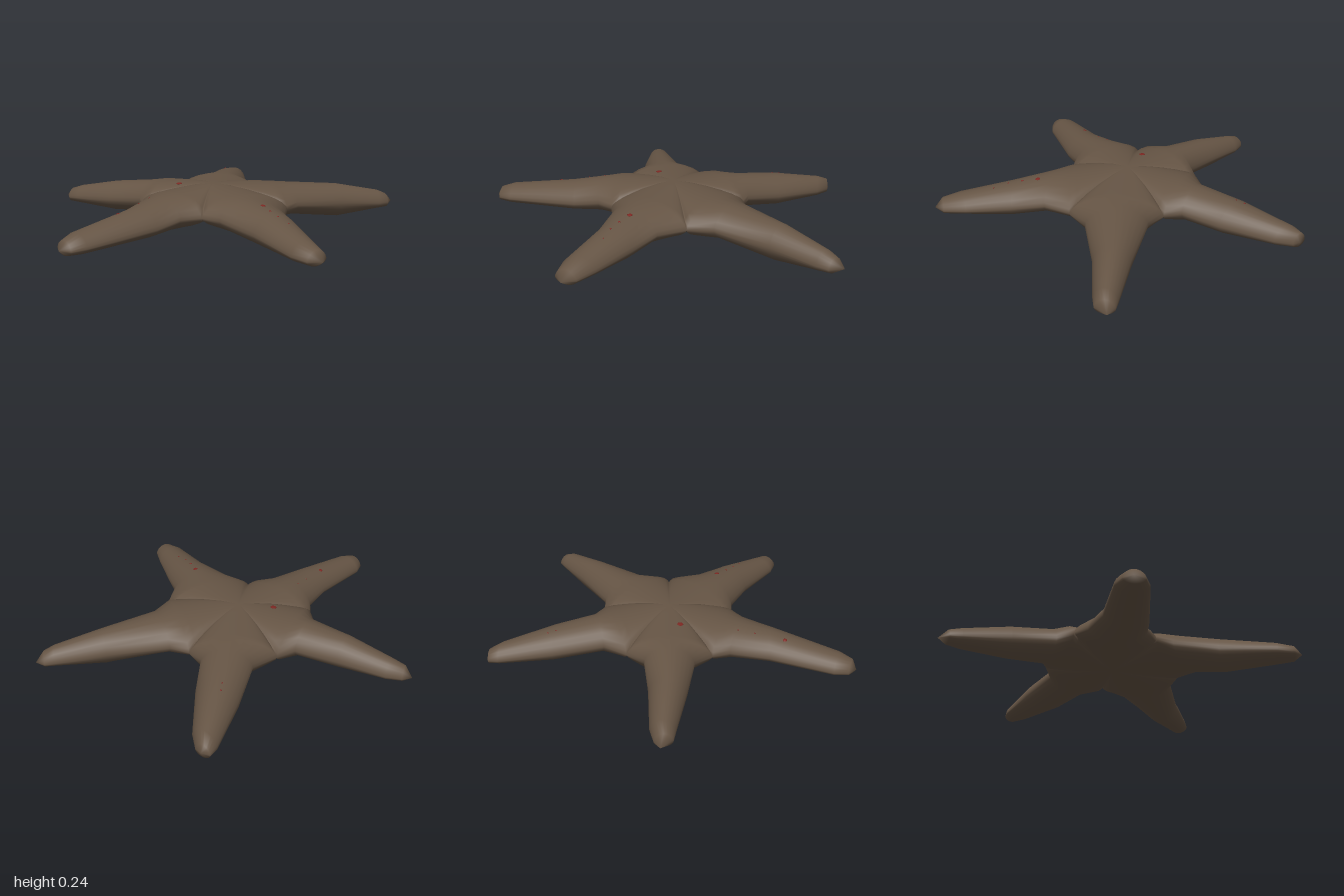
import * as THREE from 'three';
import { mergeVertices } from 'three/addons/utils/BufferGeometryUtils.js';

// Each arm: tip, then [x, z, x, z] edge pairs from the tip back to the base.
// Arms run clockwise seen from above; the valleys between them are shared.
const ARMS = [
  { tip: [0.95, -0.52], low: 0.018, rows: [[0.935, -0.566, 0.945, -0.48], [0.88, -0.563, 0.885, -0.405], [0.6, -0.46, 0.66, -0.22], [0.345, -0.34, 0.49, -0.1]] },
  { tip: [1.0, 0.63], low: 0.0, rows: [[0.985, 0.575, 0.92, 0.655], [0.95, 0.54, 0.86, 0.63], [0.74, 0.35, 0.63, 0.51], [0.5, 0.11, 0.34, 0.4]] },
  { tip: [-0.32, 0.985], low: 0.02, rows: [[-0.25, 0.96, -0.365, 0.925], [-0.18, 0.86, -0.36, 0.83], [-0.04, 0.65, -0.26, 0.53], [0.06, 0.5, -0.225, 0.28]] },
  { tip: [-1.0, -0.1], low: 0.035, rows: [[-0.975, -0.035, -0.965, -0.15], [-0.9, 0.0, -0.89, -0.175], [-0.49, 0.085, -0.54, -0.17], [-0.34, 0.11, -0.33, -0.215]] },
  { tip: [-0.175, -0.99], low: 0.02, rows: [[-0.222, -0.925, -0.13, -0.955], [-0.217, -0.86, -0.085, -0.88], [-0.2, -0.6, 0.0, -0.63], [-0.175, -0.36, 0.09, -0.42]] },
];
// VALLEYS[i] lies just before arm i
const VALLEYS = [[0.2, -0.385], [0.47, 0], [0.2, 0.42], [-0.25, 0.18], [-0.25, -0.275]];
const CENTRE = [0.07, -0.01];
const TOP = [0.115, 0.14, 0.195, 0.222, 0.23];
const EDGE = [0.065, 0.07, 0.095, 0.12, 0.125];
const COLS = 12;

const lerp = THREE.MathUtils.lerp;

// All cross-sections of one arm, from its tip to the middle of the body
function armSections(i) {
  const { tip, low, rows } = ARMS[i];
  const a = VALLEYS[i], b = VALLEYS[(i + 1) % 5];
  const bottom = [0.035, 0.03, low, 0.04, 0.048];
  const sections = [{ p: [...tip, ...tip], top: 0.065, bottom: 0.065, edgeTop: 0.065, edgeBottom: 0.065 }];
  [...rows, [...a, ...b]].forEach((p, k) => sections.push({
    p, top: TOP[k], bottom: bottom[k], edgeTop: EDGE[k], edgeBottom: EDGE[k],
  }));
  // Body wedge: the sides follow the valley lines into the centre
  for (const t of [0.12, 0.3, 0.5, 0.75, 1]) {
    const rise = Math.sin(t * Math.PI / 2) ** 0.75;
    sections.push({
      p: [lerp(a[0], CENTRE[0], t), lerp(a[1], CENTRE[1], t), lerp(b[0], CENTRE[0], t), lerp(b[1], CENTRE[1], t)],
      top: lerp(0.23, 0.24, t), bottom: lerp(0.048, 0.06, t),
      edgeTop: lerp(0.125, 0.24, rise), edgeBottom: lerp(0.125, 0.06, rise),
    });
  }
  return sections;
}

// Upper and lower skins of all five arms, welded into one smooth surface
function starGeometry() {
  const pos = [], index = [];
  for (let i = 0; i < 5; i++) {
    const sections = armSections(i);
    for (const upper of [true, false]) {
      const base = pos.length / 3;
      sections.forEach(({ p, top, bottom, edgeTop, edgeBottom }, r) => {
        for (let c = 0; c <= COLS; c++) {
          const s = -Math.cos(Math.PI * c / COLS), f = (s + 1) / 2;
          const arch = c === 0 || c === COLS ? 0 : Math.pow(1 - s * s, 0.6);
          const y = upper ? lerp(edgeTop, top, arch) : lerp(edgeBottom, bottom, arch);
          pos.push(lerp(p[0], p[2], f), y, lerp(p[1], p[3], f));
          if (r === 0 || c === 0) continue;
          const d = base + r * (COLS + 1) + c, e = d - 1, g = d - COLS - 1, h = g - 1;
          if (upper) index.push(h, e, d, h, d, g);
          else index.push(h, d, e, h, g, d);
        }
      });
    }
  }
  const geo = new THREE.BufferGeometry();
  geo.setAttribute('position', new THREE.Float32BufferAttribute(pos, 3));
  geo.setIndex(index);
  const welded = mergeVertices(geo, 1e-4);
  welded.computeVertexNormals();
  return welded;
}

export function createModel() {
  const group = new THREE.Group();
  group.name = 'starfish';
  const skin = new THREE.MeshStandardMaterial({ name: 'brown skin', color: 0x665545 });
  const red = new THREE.MeshStandardMaterial({ name: 'red spots', color: 0x7e2823 });

  const body = new THREE.Mesh(starGeometry(), skin);
  body.name = 'bodyAndArms';
  group.add(body);

  // Small red spots laid on the skin: x, z, radius
  const spots = [
    [-0.04, -0.17, 0.017], [-0.605, -0.09, 0.011], [-0.09, 0.465, 0.014],
    [-0.13, 0.54, 0.007], [-0.16, 0.61, 0.005], [-0.18, 0.69, 0.004],
    [-0.44, -0.1, 0.004], [-0.35, -0.11, 0.004], [0.65, -0.385, 0.005], [0.61, -0.36, 0.004],
  ];
  const ray = new THREE.Raycaster();
  const up = new THREE.Vector3(0, 1, 0);
  const dot = new THREE.SphereGeometry(1, 10, 6);
  for (const [x, z, r] of spots) {
    ray.set(new THREE.Vector3(x, 1, z), new THREE.Vector3(0, -1, 0));
    const hit = ray.intersectObject(body)[0];
    if (!hit) continue;
    const spot = new THREE.Mesh(dot, red);
    spot.name = 'spot';
    spot.scale.set(r, 0.003, r);
    spot.position.copy(hit.point);
    spot.quaternion.setFromUnitVectors(up, hit.face.normal);
    group.add(spot);
  }
  return group;
}
